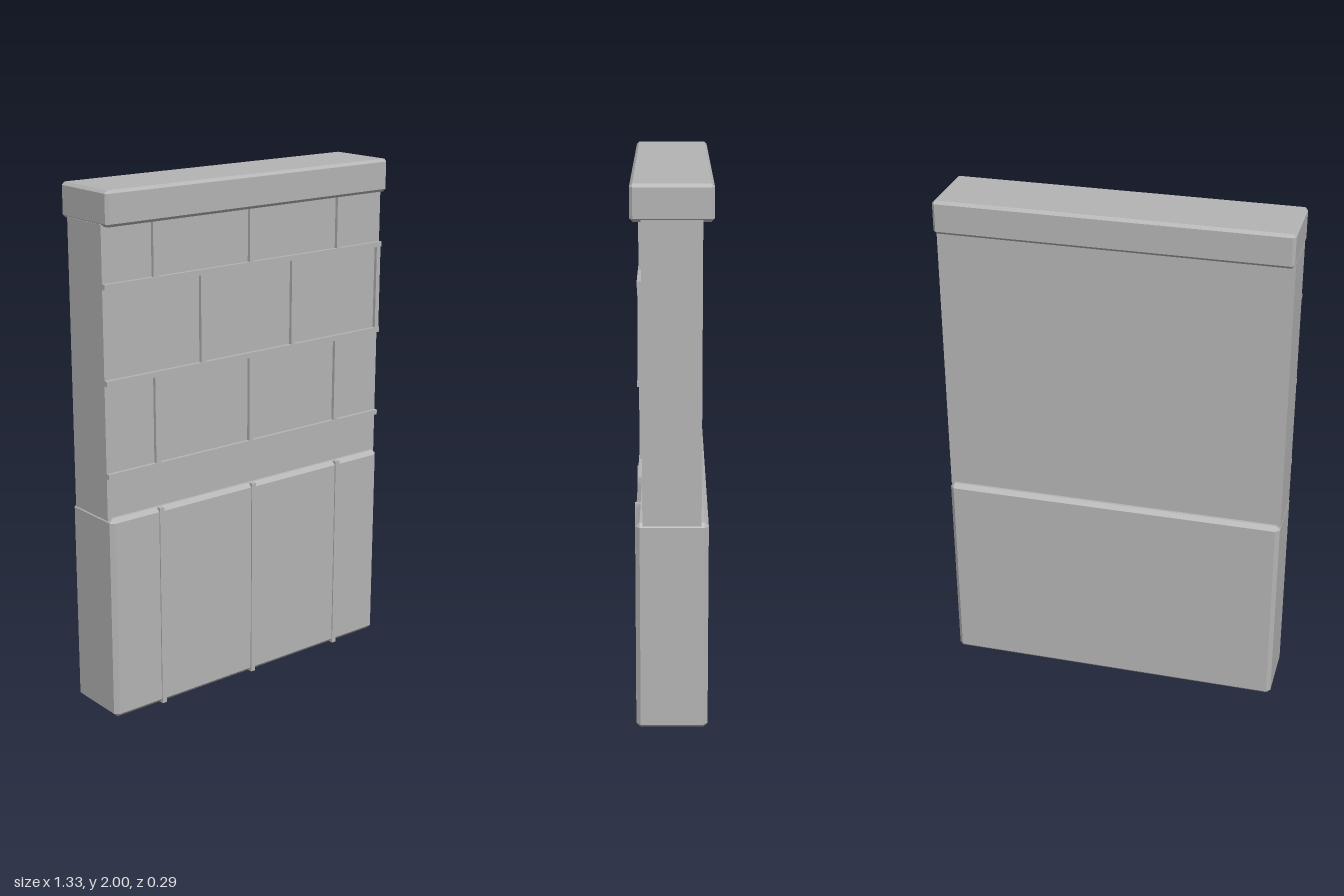
import * as THREE from 'three';
import { ConvexGeometry } from 'three/addons/geometries/ConvexGeometry.js';

// Box with a single flat chamfer on every edge, centred on the origin
function chamferBox(w, h, d, c) {
  const half = [w / 2, h / 2, d / 2];
  const points = [];
  for (const sx of [-1, 1]) for (const sy of [-1, 1]) for (const sz of [-1, 1]) {
    for (let axis = 0; axis < 3; axis++) {
      const p = half.map((v, i) => (i === axis ? v : v - c));
      points.push(new THREE.Vector3(sx * p[0], sy * p[1], sz * p[2]));
    }
  }
  return new ConvexGeometry(points);
}

export function createModel() {
  const stone = new THREE.MeshStandardMaterial({ color: 0xb4b4b4 });
  stone.name = 'stone grey';
  const model = new THREE.Group();
  model.name = 'wallSection';

  const add = (name, geometry, x, y, z, parent = model) => {
    const mesh = new THREE.Mesh(geometry, stone);
    mesh.name = name;
    mesh.position.set(x, y, z);
    parent.add(mesh);
  };

  // Raised strip spanning x0..x1, y0..y1, from inside the wall out to depth z1
  const strip = (name, parent, x0, x1, y0, y1, z1) => {
    const z0 = 0.09;
    add(name, new THREE.BoxGeometry(x1 - x0, y1 - y0, z1 - z0),
      (x0 + x1) / 2, (y0 + y1) / 2, (z0 + z1) / 2, parent);
  };

  // Main masses
  const W = 1.33;
  add('base', chamferBox(W, 0.8, 0.262, 0.016), 0, 0.4, 0);
  add('wall', new THREE.BoxGeometry(W, 1.09, 0.21), 0, 1.335, 0);
  add('cap', chamferBox(W, 0.128, 0.288, 0.011), 0, 1.936, 0);

  // Joints between the blocks, on the front only
  const joints = new THREE.Group();
  joints.name = 'joints';
  model.add(joints);

  const courses = [0.962, 1.311, 1.66];
  for (const y of courses) strip('courseJoint', joints, -W / 2, W / 2, y - 0.01, y + 0.01, 0.12);

  const aligned = [-0.442, 0, 0.437];
  const staggered = [-0.23, 0.208, 0.652];
  const rows = [
    { xs: aligned, y0: courses[0], y1: courses[1] },
    { xs: staggered, y0: courses[1], y1: courses[2] },
    { xs: aligned, y0: courses[2], y1: 1.88 },
  ];
  for (const { xs, y0, y1 } of rows) {
    for (const x of xs) strip('blockJoint', joints, x - 0.01, x + 0.01, y0 + 0.01, y1 - 0.01, 0.118);
  }
  for (const x of aligned) strip('baseJoint', joints, x - 0.01, x + 0.01, 0, 0.8, 0.136);

  return model;
}
